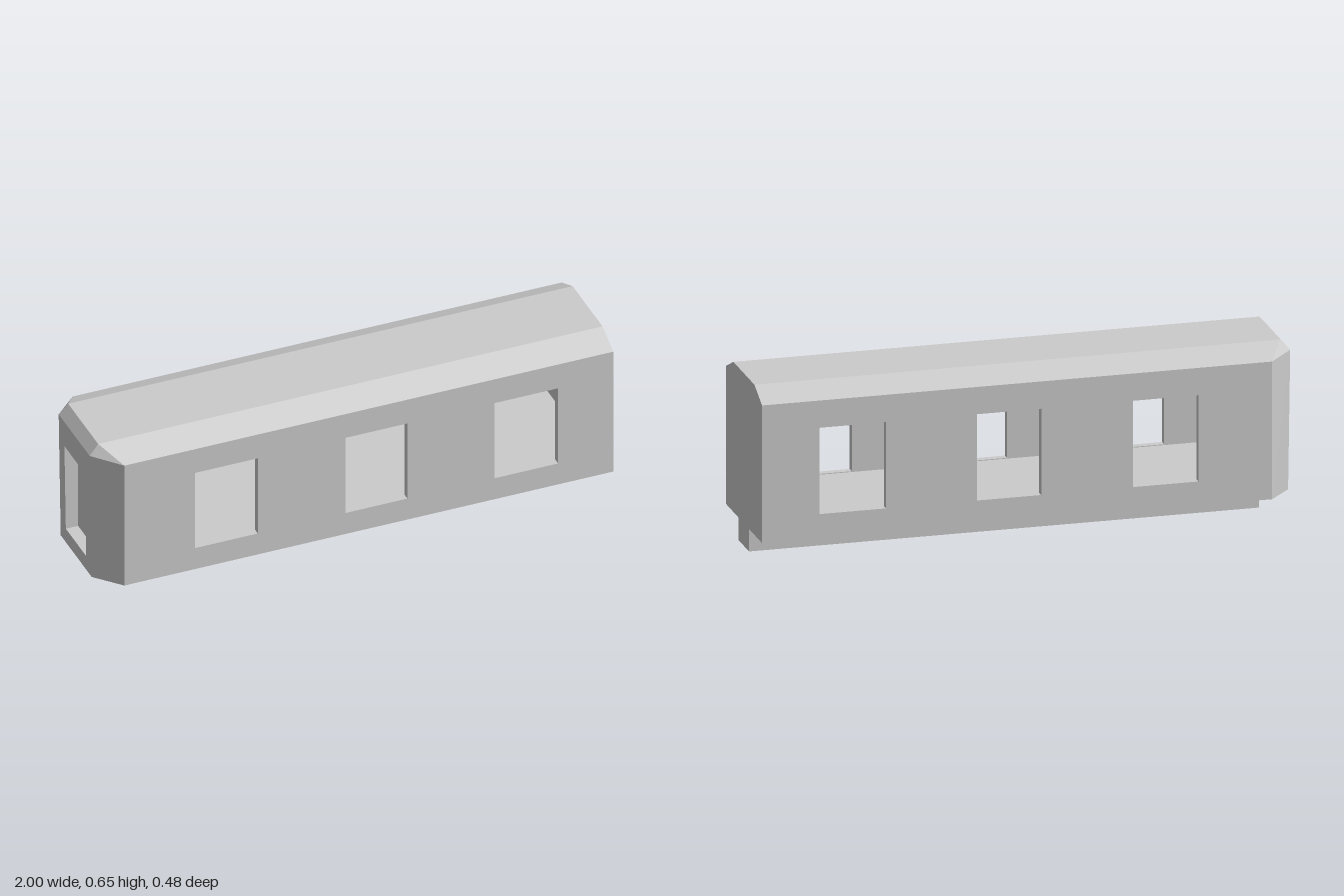
import * as THREE from 'three';

const X0 = -0.905, X1 = 1;             // straight part of the body
const W = 0.241, T = 0.028;            // half width, wall thickness
const Y0 = 0.085, YW = 0.605, YR = 0.652; // underside, wall top, roof top
const RW = 0.14;                       // half width of the flat roof
const FLOOR = 0.173, CEIL = 0.503;     // room height

const material = new THREE.MeshStandardMaterial({ color: 0xcccccc, flatShading: true });
const noseMaterial = new THREE.MeshStandardMaterial({ color: 0xcccccc, flatShading: true, side: THREE.DoubleSide });

function add(group, name, geometry, mat = material) {
  const mesh = new THREE.Mesh(geometry, mat);
  mesh.name = name;
  group.add(mesh);
  return mesh;
}

// Box from its minimum and maximum corners
function box(x0, x1, y0, y1, z0, z1) {
  return new THREE.BoxGeometry(x1 - x0, y1 - y0, z1 - z0)
    .translate((x0 + x1) / 2, (y0 + y1) / 2, (z0 + z1) / 2);
}

const rect = (P, x0, x1, y0, y1) => new P([[x0, y0], [x1, y0], [x1, y1], [x0, y1]].map(p => new THREE.Vector2(...p)));

// Convex polygons as triangle fans, each turned to face its outward direction
function polygons(list) {
  const out = [];
  for (const [pts, dir] of list) {
    let v = pts.map(p => new THREE.Vector3(...p));
    const n = v[1].clone().sub(v[0]).cross(v[2].clone().sub(v[0]));
    if (n.dot(new THREE.Vector3(...dir)) < 0) v = v.reverse();
    for (let i = 1; i < v.length - 1; i++) {
      for (const p of [v[0], v[i], v[i + 1]]) out.push(p.x, p.y, p.z);
    }
  }
  const g = new THREE.BufferGeometry();
  g.setAttribute('position', new THREE.Float32BufferAttribute(out, 3));
  g.computeVertexNormals();
  return g;
}

// Faceted nose with a recessed doorway
function noseGeometry() {
  const EW = 0.145, YE = 0.612, XR = -0.965, XD = -0.945;
  const endX = y => -0.992 - 0.008 * (y - Y0) / (YE - Y0); // end face leans slightly
  const end = (y, z) => [endX(y), y, z];
  const DW = 0.095, D0 = 0.145, D1 = 0.505;
  const faces = [];
  for (const s of [-1, 1]) {
    const wallTop = [X0, YW, s * W], roofEnd = [XR, YR, s * RW];
    faces.push(
      // corner bevel, upper facet and the little roof triangle
      [[[X0, Y0, s * W], end(Y0, s * EW), end(YE, s * EW), wallTop], [-1, 0, s]],
      [[wallTop, end(YE, s * EW), roofEnd], [-1, 1, s]],
      [[wallTop, roofEnd, [X0, YR, s * RW]], [0, 1, s]],
      // end face beside the door, and door jamb
      [[end(Y0, s * EW), end(D0, s * DW), end(D1, s * DW), end(YE, s * EW)], [-1, 0, 0]],
      [[end(D0, s * DW), end(D1, s * DW), [XD, D1, s * DW], [XD, D0, s * DW]], [0, 0, -s]],
    );
  }
  // strips spanning from side to side
  const span = (a, b, dir) => faces.push([[[a[0], a[1], -a[2]], a, b, [b[0], b[1], -b[2]]], dir]);
  span(end(Y0, EW), end(D0, DW), [-1, 0, 0]);
  span(end(D1, DW), end(YE, EW), [-1, 0, 0]);
  span(end(D0, DW), [XD, D0, DW], [0, 1, 0]);
  span(end(D1, DW), [XD, D1, DW], [0, -1, 0]);
  span([XD, D0, DW], [XD, D1, DW], [-1, 0, 0]);
  span(end(YE, EW), [XR, YR, RW], [-1, 1, 0]);
  span([XR, YR, RW], [X0, YR, RW], [0, 1, 0]);
  span(end(Y0, EW), [X0, Y0, W], [0, -1, 0]);
  return polygons(faces);
}

export function createModel() {
  const group = new THREE.Group();
  group.name = 'railCar';

  // Side walls with three window openings each
  const wall = rect(THREE.Shape, X0, X1, Y0, YW);
  for (const [a, b] of [[-0.63, -0.385], [-0.043, 0.198], [0.537, 0.785]]) {
    wall.holes.push(rect(THREE.Path, a, b, FLOOR + 0.003, CEIL - 0.001));
  }
  for (const [name, z] of [['frontWall', W - T], ['backWall', -W]]) {
    add(group, name, new THREE.ExtrudeGeometry(wall, { depth: T, bevelEnabled: false }).translate(0, 0, z));
  }

  // Roof with sloped shoulders and a flat ceiling
  const I = W - T;
  const roof = new THREE.Shape([[-I, CEIL], [I, CEIL], [I, YW], [W, YW], [RW, YR], [-RW, YR], [-W, YW], [-I, YW]]
    .map(p => new THREE.Vector2(...p)));
  add(group, 'roof', new THREE.ExtrudeGeometry(roof, { depth: X1 - X0, bevelEnabled: false })
    .rotateY(Math.PI / 2).translate(X0, 0, 0));

  // Floor, bulkheads and the keel underneath
  add(group, 'floor', box(X0, X1, Y0, FLOOR, -I, I));
  add(group, 'noseBulkhead', box(X0, -0.8, FLOOR, CEIL, -I, I));
  add(group, 'endBulkhead', box(0.93, X1, FLOOR, CEIL, -I, I));
  add(group, 'keel', box(X0, X1, 0, Y0, -0.068, 0.07));

  add(group, 'nose', noseGeometry(), noseMaterial);
  return group;
}
